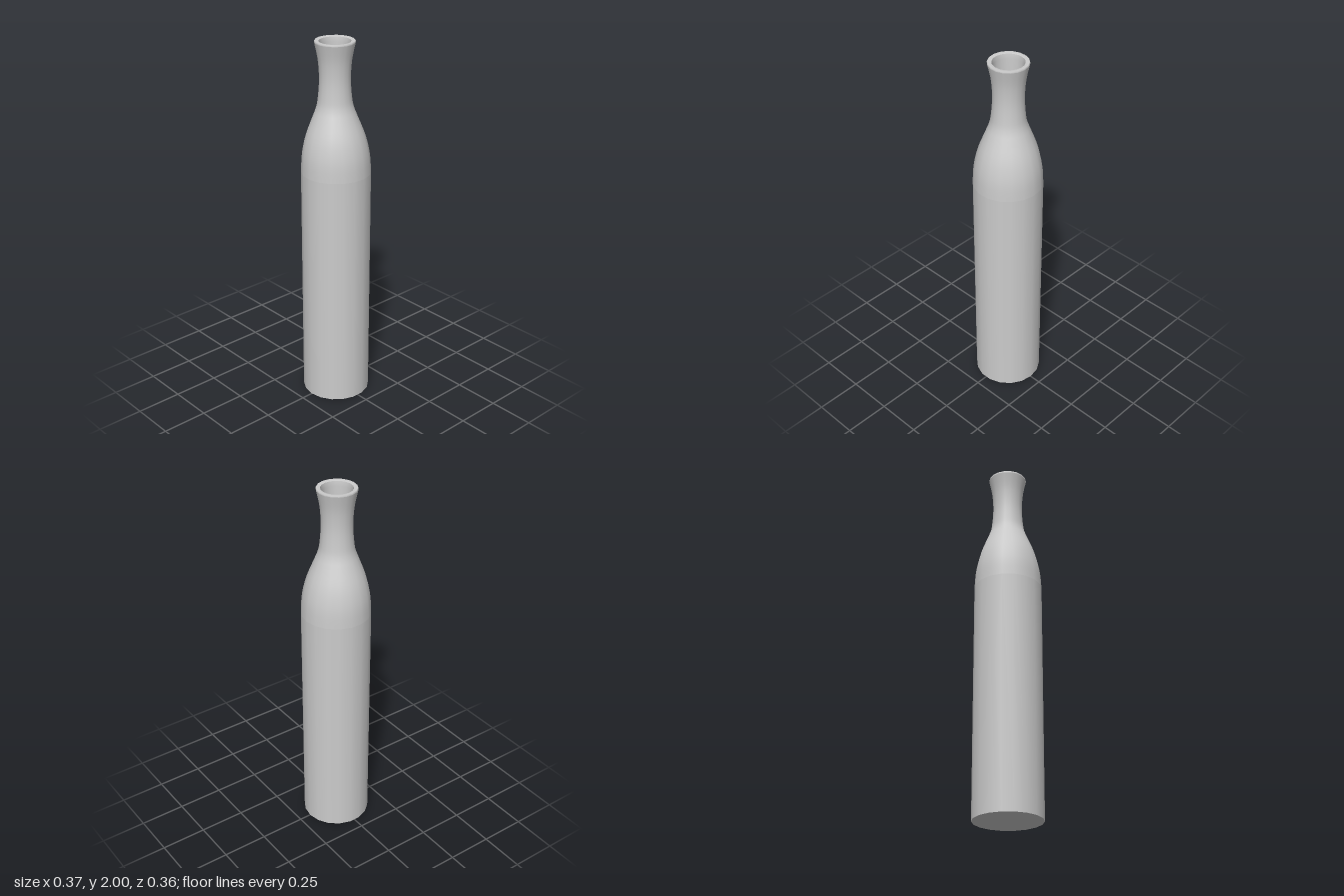
import * as THREE from 'three';

const SIDES = 18;

// Revolve a profile of [radius, height] pairs; the neck sits slightly off the body's axis
function revolve(name, profile, smooth = false) {
  let points = profile.map(([r, y]) => new THREE.Vector2(r, y));
  if (smooth) points = new THREE.SplineCurve(points).getPoints(28);
  const geometry = new THREE.LatheGeometry(points, SIDES, Math.PI / 2);
  const pos = geometry.attributes.position;
  for (let i = 0; i < pos.count; i++) {
    const lean = THREE.MathUtils.smoothstep(pos.getY(i), 1.3, 1.7);
    pos.setX(i, pos.getX(i) - 0.002 * lean);
    pos.setZ(i, pos.getZ(i) - 0.006 * lean);
  }
  const mesh = new THREE.Mesh(geometry, new THREE.MeshStandardMaterial({ color: 0xcccccc }));
  mesh.name = name;
  return mesh;
}

export function createModel() {
  const bottle = new THREE.Group();
  bottle.name = 'bottle';
  bottle.add(
    // Flat underside and straight body
    revolve('base', [[0, 0], [0.184, 0]]),
    revolve('body', [[0.184, 0], [0.184, 1.3]]),
    // Rounded shoulder, narrow neck and flared mouth
    revolve('shoulderAndNeck', [
      [0.184, 1.3], [0.177, 1.4], [0.155, 1.5], [0.117, 1.6], [0.098, 1.65],
      [0.088, 1.7], [0.081, 1.8], [0.087, 1.9], [0.105, 1.99],
    ], true),
    // Thick lip with a small bevel on its outer edge
    revolve('lip', [[0.105, 1.99], [0.105, 1.996], [0.102, 2], [0.083, 1.996]]),
    // Hollow inside, down to a flat floor
    revolve('innerWall', [
      [0.083, 1.996], [0.079, 1.97], [0.078, 1.8], [0.08, 1.7],
      [0.11, 1.6], [0.145, 1.5], [0.17, 1.35], [0.174, 0.03],
    ]),
    revolve('innerFloor', [[0.174, 0.03], [0, 0.03]]),
  );
  return bottle;
}
